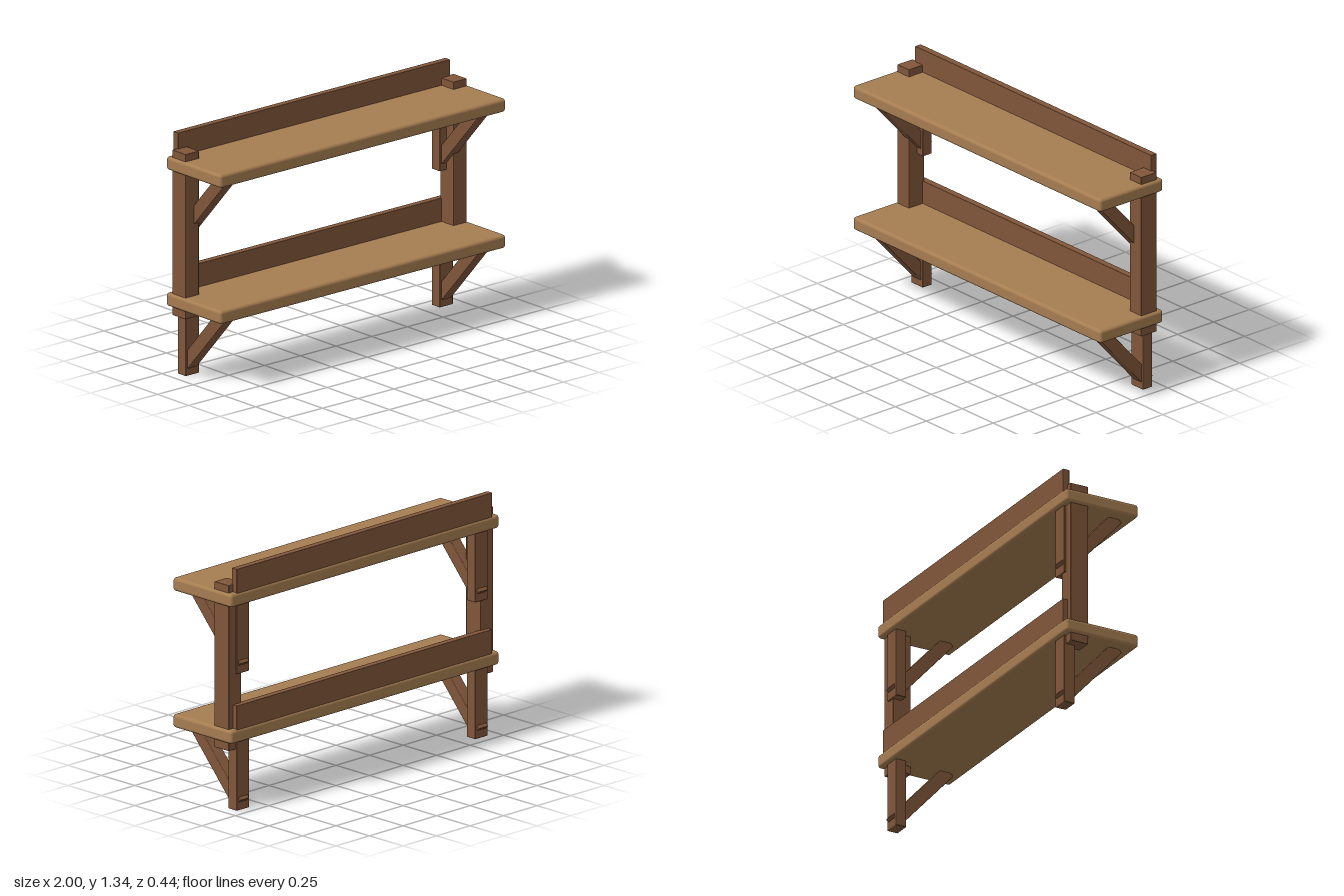
import * as THREE from 'three';
import { RoundedBoxGeometry } from 'three/addons/geometries/RoundedBoxGeometry.js';

export function createModel() {
  const model = new THREE.Group();
  model.name = 'wallShelf';

  const lightWood = new THREE.MeshStandardMaterial({ color: 0xa67d51 });
  lightWood.name = 'lightWood';
  const darkWood = new THREE.MeshStandardMaterial({ color: 0x80563a });
  darkWood.name = 'darkWood';

  // Rounded plank given by its limits on each axis
  function plank(name, material, [x0, x1], [y0, y1], [z0, z1], radius = 0.004, segments = 2) {
    const geometry = new RoundedBoxGeometry(x1 - x0, y1 - y0, z1 - z0, segments, radius);
    const mesh = new THREE.Mesh(geometry, material);
    mesh.name = name;
    mesh.position.set((x0 + x1) / 2, (y0 + y1) / 2, (z0 + z1) / 2);
    model.add(mesh);
    return mesh;
  }

  // Limits along x, mirrored to the given side
  const across = (side, centre, width) => [side * centre - width / 2, side * centre + width / 2];

  // Two tiers: shelf, back board and a pair of braced brackets
  [['lower', 0], ['upper', 0.755]].forEach(([tier, y]) => {
    plank(tier + 'Shelf', lightWood, [-1, 1], [y + 0.384, y + 0.458], [-0.22, 0.22], 0.017, 4);
    plank(tier + 'BackBoard', darkWood, [-0.953, 0.953], [y + 0.45, y + 0.588], [-0.214, -0.174]);

    for (const side of [-1, 1]) {
      const sideName = side > 0 ? 'Left' : 'Right';
      plank(tier + sideName + 'BracketLeg', darkWood,
        across(side, 0.889, 0.094), [y, y + 0.39], [-0.197, -0.133]);

      // Diagonal brace, rising from the leg to the underside of the shelf
      const brace = plank(tier + sideName + 'BracketBrace', darkWood,
        across(side, 0.89, 0.07), [y - 0.0265, y + 0.4535], [-0.06, 0.01]);
      brace.rotation.x = THREE.MathUtils.degToRad(41.8);
    }
  });

  // Posts running through both shelves
  for (const side of [-1, 1]) {
    plank(side > 0 ? 'leftPost' : 'rightPost', darkWood,
      across(side, 0.938, 0.095), [0.338, 1.254], [-0.186, -0.078]);
  }

  return model;
}
